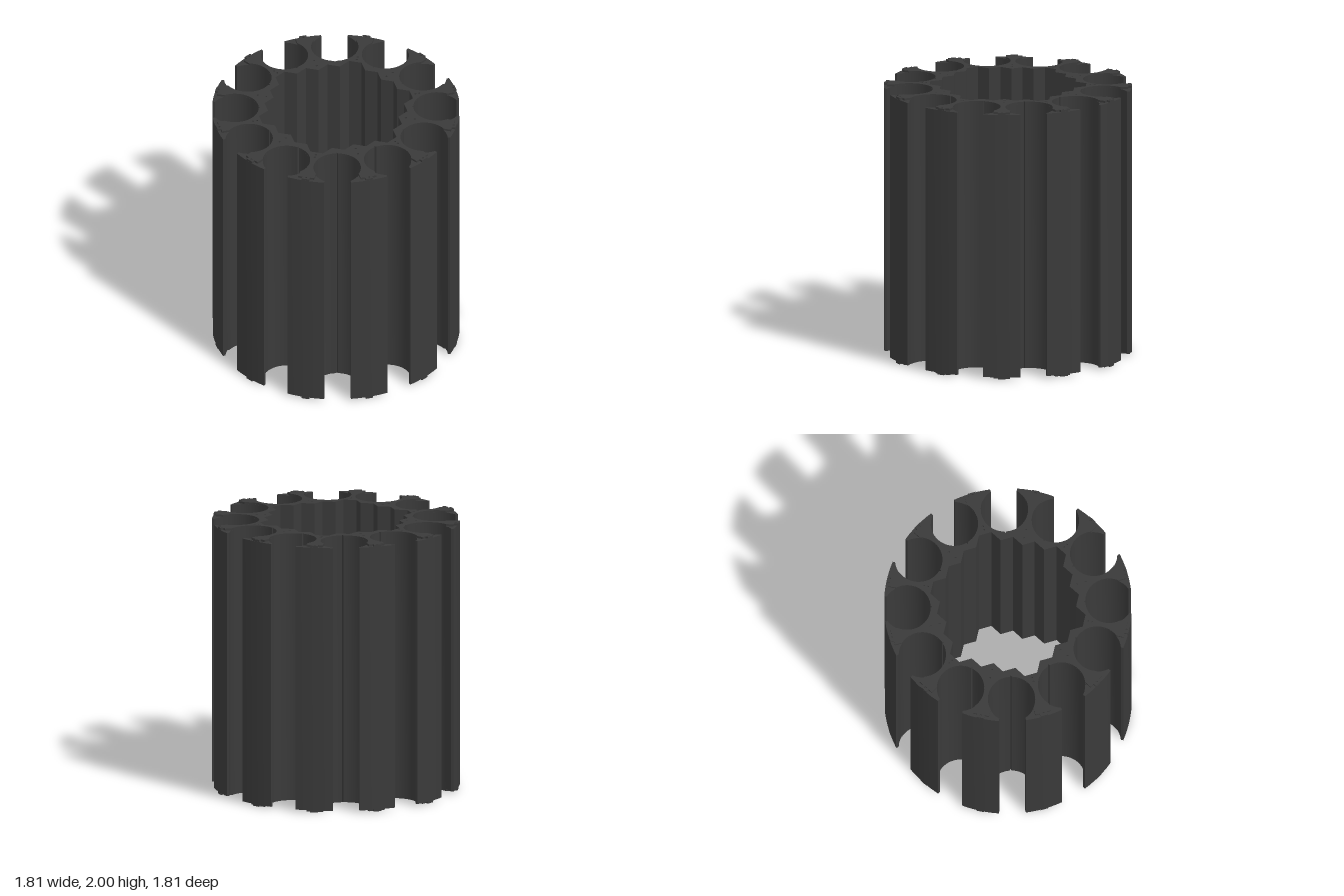
import * as THREE from 'three';
import { toCreasedNormals } from 'three/addons/utils/BufferGeometryUtils.js';

const SPOKES = 12, STEP = Math.PI / 6;
const OUTER = 0.905, BORE_R = 0.173, BORE_DIST = 0.737;
const STEP_H = 0.015, HEIGHT = 2;

// Rotates a point given as (tangent u, radius v) to its spoke.
function spokePoint(k, u, v) {
  const a = k * STEP;
  return new THREE.Vector2(u * Math.cos(a) + v * Math.sin(a), v * Math.cos(a) - u * Math.sin(a));
}

// Honeycomb-stepped inner opening: one quarter, mirrored to the rest.
function honeycombOpening() {
  const quarter = [
    [0.047, 0.57], [0.094, 0.488], [0.188, 0.488], [0.235, 0.407], [0.33, 0.407],
    [0.376, 0.326], [0.47, 0.326], [0.517, 0.244], [0.47, 0.163], [0.517, 0.081],
  ];
  const right = [...quarter, [0.47, 0], ...quarter.slice().reverse().map(([x, y]) => [x, -y])];
  const left = right.slice().reverse().map(([x, y]) => [-x, y]);
  return new THREE.Path([...right, ...left].map(([x, y]) => new THREE.Vector2(x, y)));
}

// Ring of flared fins separated by open round bores.
function ringShape(finOutline, halfOpening) {
  const pts = [];
  for (let k = 0; k < SPOKES; k++) {
    finOutline.forEach(([u, v]) => pts.push(spokePoint(k, u, v)));
    const mid = k + 0.5;
    const borePoint = (t, r) => pts.push(spokePoint(mid, r * Math.sin(t), BORE_DIST + r * Math.cos(t)));
    // each half of the bore wall stops at a narrow seam groove on its inward side
    const n = 16, end = Math.PI - 0.04;
    const angleAt = (i) => halfOpening + (i / n) * (end - halfOpening);
    for (let i = 0; i <= n; i++) borePoint(-angleAt(i), BORE_R);
    borePoint(Math.PI, BORE_R + 0.012);
    for (let i = n; i >= 0; i--) borePoint(angleAt(i), BORE_R);
  }
  // counter-clockwise outline, so the openings are turned to match
  const shape = new THREE.Shape(pts.reverse());
  shape.holes.push(honeycombOpening());
  return shape;
}

function extrudeUp(shape, depth) {
  const geo = new THREE.ExtrudeGeometry(shape, { depth, bevelEnabled: false, curveSegments: 8 });
  geo.rotateX(-Math.PI / 2);
  return toCreasedNormals(geo, 0.5);
}

export function createModel() {
  const model = new THREE.Group();
  model.name = 'finnedRing';
  const material = new THREE.MeshStandardMaterial({ color: 0x3a3a3a });

  // Main body with full-width curved fins
  const arc = [];
  for (let i = 0; i <= 6; i++) {
    const u = -0.137 + (0.274 * i) / 6;
    arc.push([u, Math.sqrt(OUTER * OUTER - u * u)]);
  }
  const body = new THREE.Mesh(extrudeUp(ringShape(arc, 0.578), HEIGHT - 2 * STEP_H), material);
  body.name = 'ringBody';
  body.position.y = STEP_H;
  model.add(body);

  // End faces: fins step in, leaving a narrow tab on the rim
  const tab = [[-0.06, 0.88], [-0.028, 0.88], [-0.028, OUTER - 0.001],
    [0.028, OUTER - 0.001], [0.028, 0.88], [0.06, 0.88]];
  const capShape = ringShape(tab, 1.119);
  // Small pin holes along each spoke, deeper set where the wall is thicker
  for (let k = 0; k < SPOKES; k++) {
    const inner = k % 2 ? [0.525, 0.59] : [0.6, 0.63];
    for (const v of [...inner, 0.885]) {
      const p = spokePoint(k, 0, v);
      const hole = new THREE.Path();
      hole.absarc(p.x, p.y, 0.008, 0, Math.PI * 2, true);
      capShape.holes.push(hole);
    }
  }
  const capGeo = extrudeUp(capShape, STEP_H);
  for (const [name, y] of [['bottomEndFace', 0], ['topEndFace', HEIGHT - STEP_H]]) {
    const cap = new THREE.Mesh(capGeo, material);
    cap.name = name;
    cap.position.y = y;
    model.add(cap);
  }
  return model;
}
